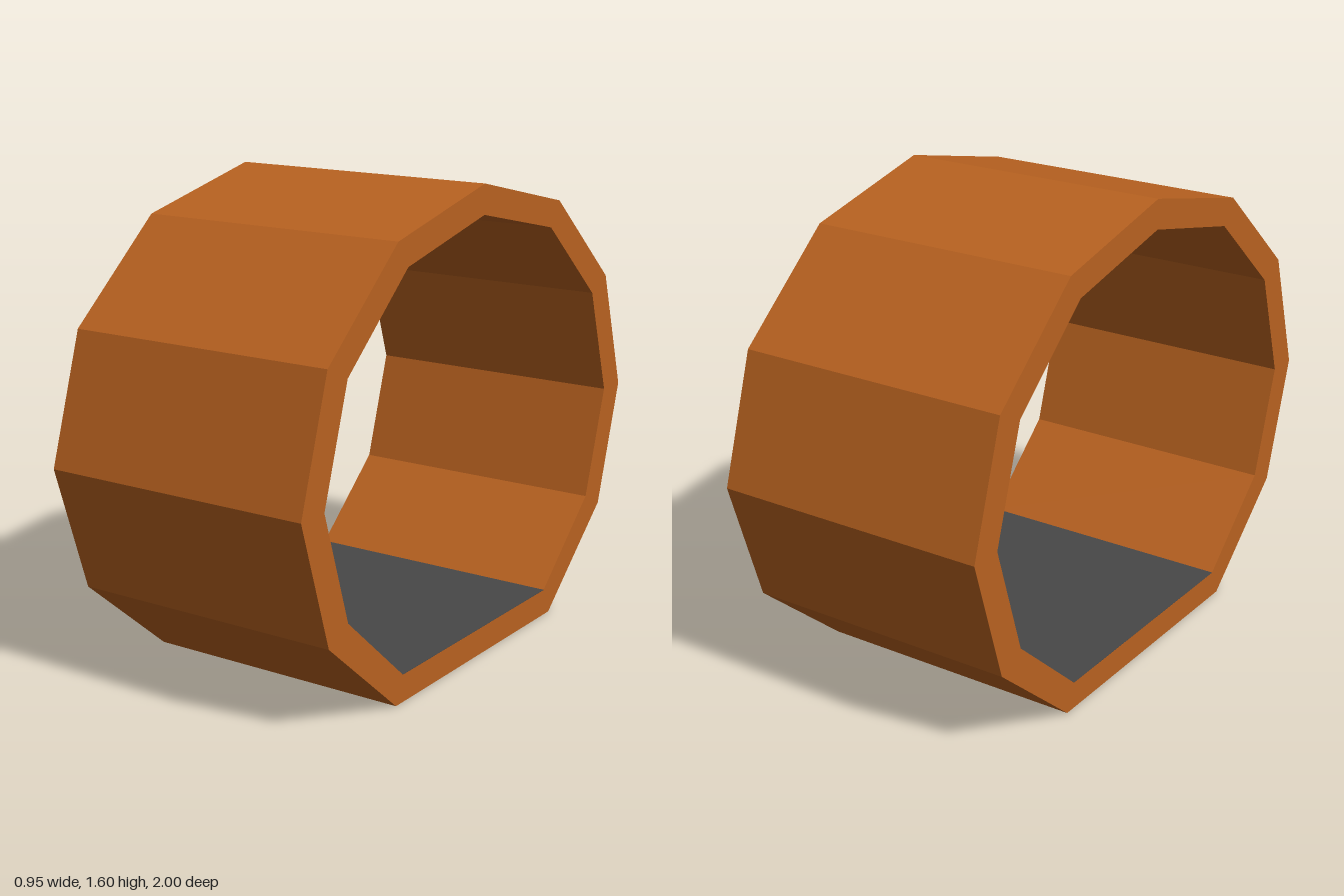
import * as THREE from 'three';

const WIDTH = 0.955;

// Half profiles from crown to floor, as [z, y]
const OUTER = [[0, 1.6], [0.5, 1.485], [0.866, 1.17], [1, 0.745], [0.866, 0.315], [0.5, 0]];
const INNER = [[0, 1.5], [0.445, 1.4], [0.765, 1.122], [0.885, 0.745], [0.765, 0.365], [0.46, 0.093]];

// Mirrors a half profile into a closed eleven-sided loop
function loop(half) {
  const mirrored = half.slice(1).reverse().map(([z, y]) => [-z, y]);
  return [...half, ...mirrored].map(([z, y]) => new THREE.Vector2(z, y));
}

export function createModel() {
  const brown = new THREE.MeshStandardMaterial({ color: 0xb96220 });
  brown.name = 'brown';
  const darkGrey = new THREE.MeshStandardMaterial({ color: 0x484848 });
  darkGrey.name = 'darkGrey';

  const model = new THREE.Group();
  model.name = 'tunnel';

  // Faceted ring, open at both ends along x; the hole runs the other way so its walls face inward
  const section = new THREE.Shape(loop(OUTER));
  section.holes.push(new THREE.Path(loop(INNER).reverse()));
  const ringGeometry = new THREE.ExtrudeGeometry(section, { depth: WIDTH, bevelEnabled: false });
  ringGeometry.translate(0, 0, -WIDTH / 2).rotateY(Math.PI / 2);
  const ring = new THREE.Mesh(ringGeometry, brown);
  ring.name = 'tunnelRing';
  model.add(ring);

  // Thin grey surface on the inside floor
  const floor = new THREE.Mesh(new THREE.BoxGeometry(WIDTH - 0.001, 0.004, 0.92), darkGrey);
  floor.name = 'floorSurface';
  floor.position.y = 0.093;
  model.add(floor);

  return model;
}
